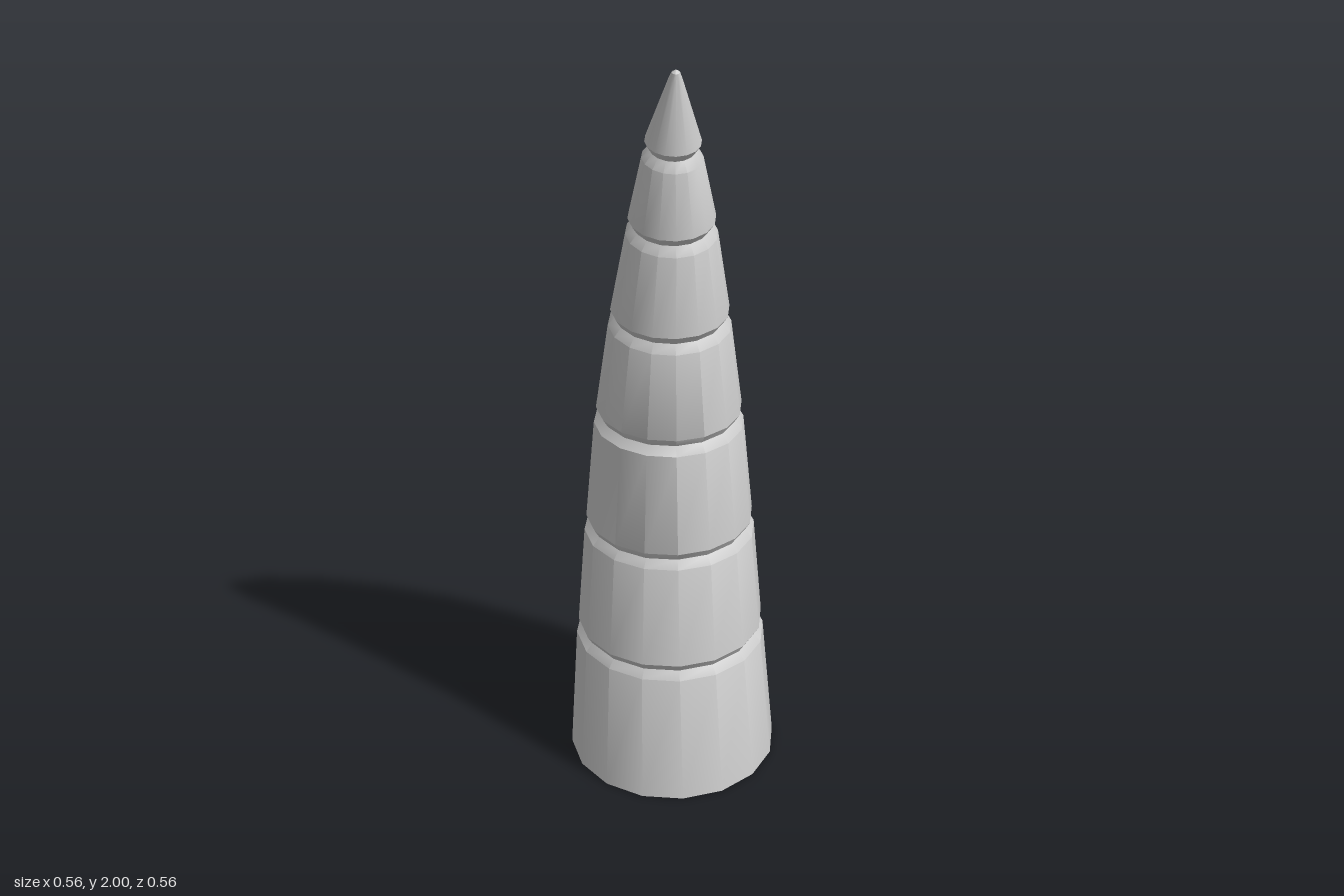
import * as THREE from 'three';
import { toCreasedNormals } from 'three/addons/utils/BufferGeometryUtils.js';

const SIDES = 16;

// Skin over 16-sided rings [x, y, z, radius, leanX, leanZ], closed at both ends.
function loft(rings) {
  const pos = [], index = [];
  for (const [x, y, z, r, lx, lz] of rings) {
    for (let i = 0; i < SIDES; i++) {
      const a = ((i + 0.5) / SIDES) * Math.PI * 2;
      const dx = r * Math.sin(a), dz = r * Math.cos(a);
      pos.push(x + dx, y - lx * dx - lz * dz, z + dz);
    }
  }
  const last = rings.length - 1;
  for (let k = 0; k < last; k++) {
    for (let i = 0; i < SIDES; i++) {
      const a = k * SIDES + i, b = k * SIDES + ((i + 1) % SIDES);
      index.push(a, b, b + SIDES, a, b + SIDES, a + SIDES);
    }
  }
  // end caps as fans around a centre point
  const bottom = pos.length / 3, top = bottom + 1;
  pos.push(...rings[0].slice(0, 3), 0.067, 2, 0.109);
  for (let i = 0; i < SIDES; i++) {
    const j = (i + 1) % SIDES;
    index.push(bottom, j, i, top, last * SIDES + i, last * SIDES + j);
  }
  const g = new THREE.BufferGeometry();
  g.setAttribute('position', new THREE.Float32BufferAttribute(pos, 3));
  g.setIndex(index);
  return toCreasedNormals(g, 0.6);
}

export function createModel() {
  const group = new THREE.Group();
  group.name = 'horn';

  // grooves: x, y, z, lip radius, lean towards +x and +z
  const grooves = [
    [-0.02, 0.372, -0.024, 0.2585, 0, 0],
    [-0.03, 0.692, -0.039, 0.2295, 0, 0],
    [-0.028, 1.021, -0.033, 0.1965, 0.02, 0.02],
    [-0.013, 1.312, -0.01, 0.157, 0.06, 0.08],
    [0.009, 1.575, 0.021, 0.1145, 0.1, 0.15],
    [0.032, 1.786, 0.059, 0.0745, 0.13, 0.17],
  ];

  // base, then lower lip, groove and upper lip of each notch
  const rings = [[0, 0, 0, 0.2855, 0, 0]];
  for (const [x, y, z, r, lx, lz] of grooves) {
    for (const [h, dr] of [[-0.022, 0], [0, -0.019], [0.022, -0.006]]) {
      rings.push([x + h * lx, y + h, z + h * lz, r + dr, lx, lz]);
    }
  }
  // rounded tip
  rings.push([0.063, 1.976, 0.104, 0.0165, 0.15, 0.2]);
  rings.push([0.066, 1.993, 0.108, 0.01, 0.1, 0.15]);

  const horn = new THREE.Mesh(loft(rings), new THREE.MeshStandardMaterial({ color: 0xcccccc }));
  horn.name = 'ringedHorn';
  group.add(horn);
  return group;
}
